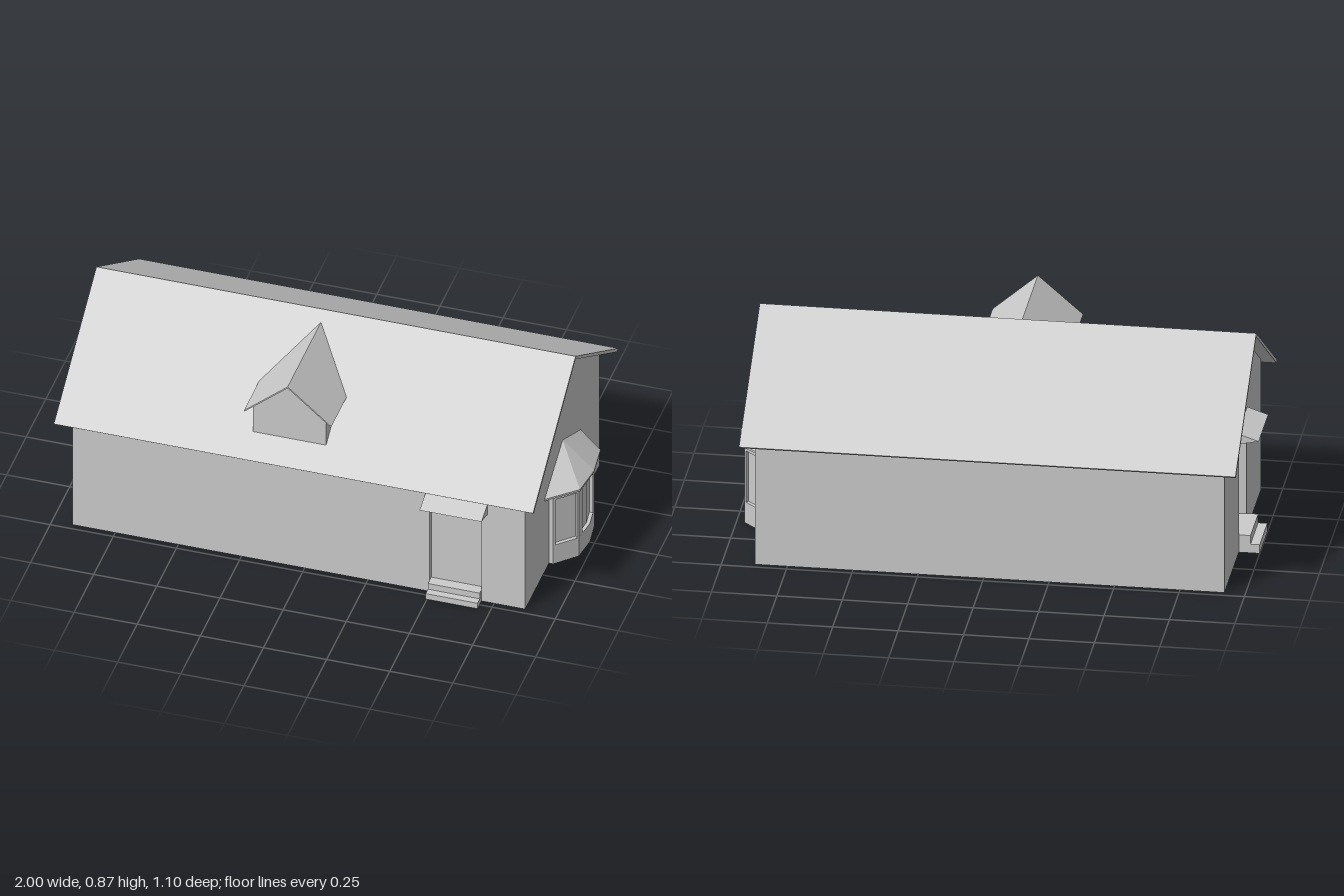
import * as THREE from 'three';

const material = new THREE.MeshStandardMaterial({ color: 0xcccccc, flatShading: true, side: THREE.DoubleSide });

const toShape = (pts) => new THREE.Shape(pts.map(([a, b]) => new THREE.Vector2(a, b)));
const rect = (a0, a1, b0, b1) => [[a0, b0], [a1, b0], [a1, b1], [a0, b1]];

function extrude(pts, depth, hole) {
  const shape = toShape(pts);
  if (hole) shape.holes.push(toShape(hole));
  return new THREE.ExtrudeGeometry(shape, { depth, bevelEnabled: false });
}
// (x, y) outline extruded from z0 to z1
const alongZ = (pts, z0, z1, hole) => extrude(pts, z1 - z0, hole).translate(0, 0, z0);
// (z, y) outline extruded from x0 to x1
const alongX = (pts, x0, x1, hole) => extrude(pts, x1 - x0, hole).rotateY(-Math.PI / 2).translate(x1, 0, 0);
// (x, z) outline extruded from y0 to y1
const alongY = (pts, y0, y1) =>
  extrude(pts.map(([x, z]) => [x, -z]), y1 - y0).rotateX(-Math.PI / 2).translate(0, y0, 0);

function add(group, name, geometry) {
  const mesh = new THREE.Mesh(geometry, material);
  mesh.name = name;
  group.add(mesh);
  return mesh;
}
function addGroup(parent, name) {
  const g = new THREE.Group();
  g.name = name;
  parent.add(g);
  return g;
}

// House extents
const X0 = -0.92, X1 = 0.873, Z = 0.475, T = 0.05;
const EAVE = 0.543, RIDGE = 0.867, SLOPE = 0.649;

function buildWalls(house) {
  const g = addGroup(house, 'walls');
  const gable = [[-Z, 0], [Z, 0], [Z, EAVE], [0, 0.853], [-Z, EAVE]];
  add(g, 'rightGable', alongX(gable, X1 - T, X1));
  add(g, 'leftGable', alongX(gable, X0, X0 + T, rect(-0.1, 0.1, 0.07, 0.46)));
  const side = rect(X0 + T, X1 - T, 0, EAVE);
  add(g, 'frontWall', alongZ(side, Z - T, Z, rect(0.495, 0.7, 0.053, 0.43)));
  add(g, 'backWall', alongZ(side, -Z, -Z + T));
  add(g, 'floor', alongY(rect(X0 + T, X1 - T, -Z + T, Z - T), 0, 0.004));
  add(g, 'frontDoor', alongZ(rect(0.495, 0.7, 0.053, 0.43), Z - 0.04, Z - 0.02));
}

function buildRoof(house) {
  const half = [[0.544, 0.514], [0.533, 0.505]];
  const profile = [[0, RIDGE], ...half, [0, 0.853],
    ...half.slice().reverse().map(([z, y]) => [-z, y])];
  add(house, 'roof', alongX(profile, -0.972, 0.925));
}

// Moves the rear end of a dormer part onto the slope of the main roof
function trimToRoof(geometry, front) {
  const p = geometry.attributes.position;
  for (let i = 0; i < p.count; i++) {
    if (p.getZ(i) < front - 1e-4) p.setZ(i, Math.min(front, (RIDGE - p.getY(i)) / SLOPE - 0.003));
  }
  geometry.computeVertexNormals();
  return geometry;
}

function buildDormer(house) {
  const g = addGroup(house, 'dormer');
  const walls = [[-0.145, 0.578], [0.145, 0.578], [0.145, 0.705], [0, 0.831], [-0.145, 0.705]];
  add(g, 'dormerWalls', trimToRoof(alongZ(walls, 0, 0.447), 0.447));
  const roof = [[0, 0.838], [-0.173, 0.688], [-0.17, 0.684], [0, 0.831], [0.17, 0.684], [0.173, 0.688]];
  add(g, 'dormerRoof', trimToRoof(alongZ(roof, 0, 0.47), 0.47));
  g.position.x = -0.069;
}

function buildEntrances(house) {
  // Front entrance: wedge canopy and two steps
  const front = addGroup(house, 'frontEntrance');
  add(front, 'frontCanopy', alongX([[Z, 0.415], [0.553, 0.436], [Z, 0.463]], 0.479, 0.724));
  add(front, 'frontSteps', alongX(
    [[Z, 0], [0.526, 0], [0.526, 0.026], [0.497, 0.026], [0.497, 0.053], [Z, 0.053]], 0.495, 0.7));
  // Side entrance
  const left = addGroup(house, 'leftEntrance');
  add(left, 'leftCanopy', alongZ([[X0, 0.46], [X0, 0.504], [-1, 0.477]], -0.128, 0.122));
  add(left, 'leftSteps', alongZ(
    [[X0, 0], [X0, 0.072], [-0.965, 0.072], [-0.965, 0.036], [-1, 0.036], [-1, 0]], -0.1, 0.1));
}

function buildBay(house) {
  const g = addGroup(house, 'bayWindow');
  g.position.z = -0.003;
  const mirrored = (half) => [...half, ...half.filter(([, z]) => z > 0).reverse().map(([x, z]) => [x, -z])];
  const outer = mirrored([[X1 - 0.01, 0.175], [0.89, 0.175], [0.968, 0.098], [0.981, 0]]);
  const inner = mirrored([[X1 - 0.01, 0.16], [0.885, 0.16], [0.955, 0.091], [0.967, 0]]);
  add(g, 'bayBase', alongY(outer, 0, 0.087));
  add(g, 'bayPanes', alongY(inner, 0.087, 0.3));
  add(g, 'bayHead', alongY(outer, 0.3, 0.337));
  for (const s of [1, -1]) {
    const post = [[0.968, 0.098], [0.972, 0.067], [0.95, 0.067], [0.95, 0.088], [0.962, 0.104]];
    const jamb = [[X1 - 0.01, 0.175], [0.89, 0.175], [0.897, 0.168], [0.88, 0.15], [X1 - 0.01, 0.15]];
    for (const [name, pts] of [['bayPost', post], ['bayJamb', jamb]])
      add(g, name, alongY(pts.map(([x, z]) => [x, z * s]), 0.087, 0.3));
  }
  // Faceted half-cone roof over a thin eave slab
  const eave = mirrored([[X1, 0.23], [0.982, 0.131], [0.998, 0]]);
  add(g, 'bayEave', alongY(eave, 0.333, 0.341));
  const tris = [];
  for (let i = 0; i < eave.length - 1; i++) {
    const [a, b] = [eave[i], eave[i + 1]];
    tris.push(X1, 0.457, 0, a[0], 0.341, a[1], b[0], 0.341, b[1]);
  }
  const roof = new THREE.BufferGeometry();
  roof.setAttribute('position', new THREE.Float32BufferAttribute(tris, 3));
  roof.computeVertexNormals();
  add(g, 'bayRoof', roof);
}

export function createModel() {
  const house = new THREE.Group();
  house.name = 'house';
  buildWalls(house);
  buildRoof(house);
  buildDormer(house);
  buildEntrances(house);
  buildBay(house);
  return house;
}
